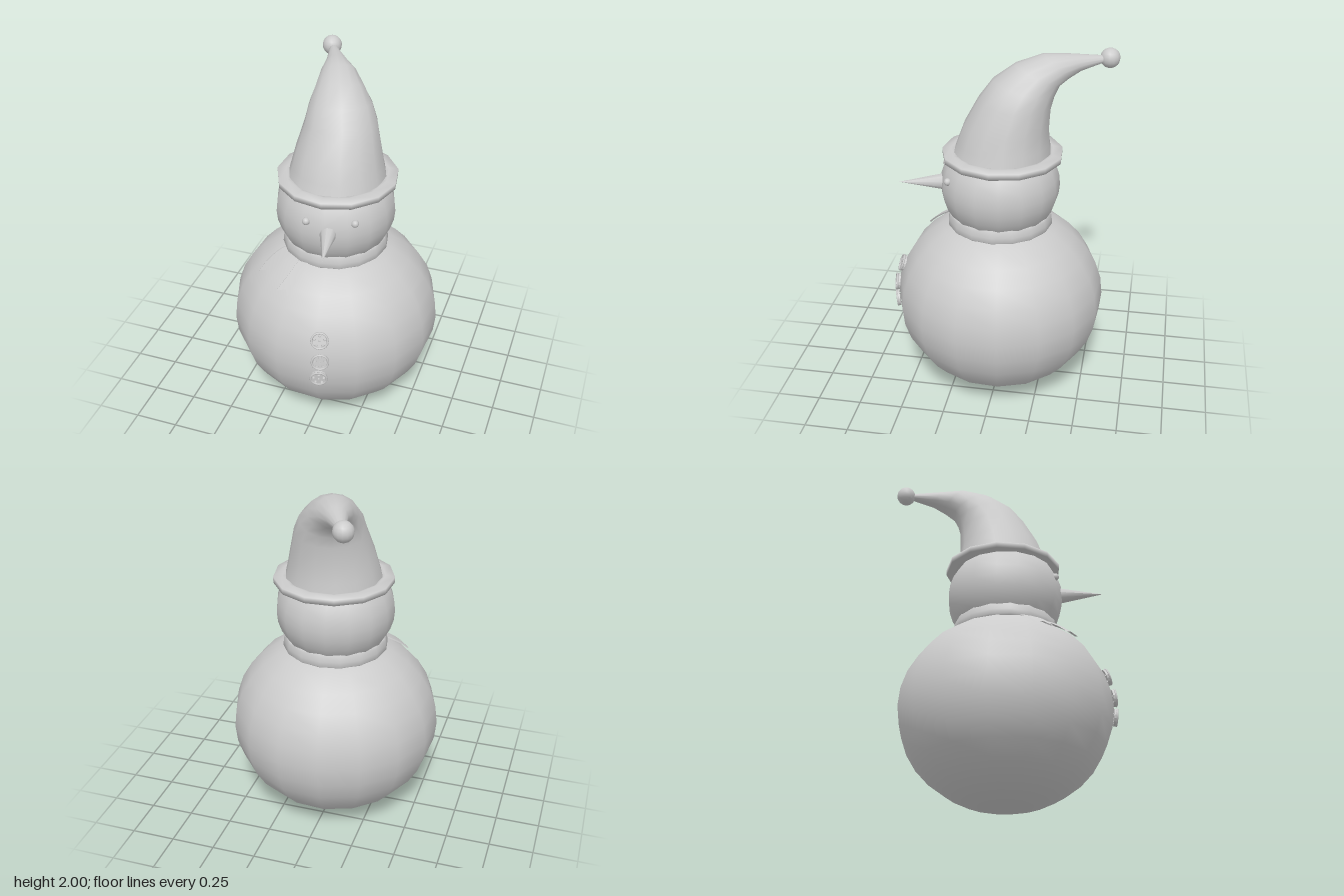
import * as THREE from 'three';

const mat = new THREE.MeshStandardMaterial({ color: 0xcccccc, side: THREE.DoubleSide });
const BODY = { y: 0.55, r: 0.6, ry: 0.545 };

function add(parent, name, geometry, x = 0, y = 0, z = 0) {
  const mesh = new THREE.Mesh(geometry, mat);
  mesh.name = name;
  mesh.position.set(x, y, z);
  parent.add(mesh);
  return mesh;
}

const lathe = (pts, sides) =>
  new THREE.LatheGeometry(pts.map(p => new THREE.Vector2(...p)), sides);

// Depth of the front body surface at (x, y)
function bodyZ(x, y) {
  const k = 1 - ((y - BODY.y) / BODY.ry) ** 2;
  return Math.sqrt(Math.max(0.004, BODY.r ** 2 * k - x * x));
}

// Bent cone through tilted rings: [x, y, z, radius, tilt in degrees]
function hatGeometry(sides = 14) {
  const rings = [
    [0.005, 1.45, -0.012, 0.275, 0], [0.005, 1.52, -0.02, 0.257, 0],
    [0.005, 1.61, -0.035, 0.236, 2], [0.003, 1.745, -0.078, 0.2, 6],
    [-0.015, 1.83, -0.125, 0.173, 14], [-0.045, 1.895, -0.195, 0.133, 27],
    [-0.085, 1.934, -0.29, 0.096, 44], [-0.128, 1.945, -0.385, 0.057, 56],
    [-0.2, 1.95, -0.54, 0.018, 80],
  ];
  const d = new THREE.Vector3(-0.34, 0, -0.94).normalize();
  const side = new THREE.Vector3(-d.z, 0, d.x);
  const pos = [], index = [];
  rings.forEach(([x, y, z, r, deg], j) => {
    const t = THREE.MathUtils.degToRad(deg);
    const up = d.clone().multiplyScalar(-Math.cos(t)).setY(Math.sin(t));
    for (let i = 0; i < sides; i++) {
      const a = (i / sides) * Math.PI * 2;
      const p = new THREE.Vector3(x, y, z)
        .addScaledVector(up, r * Math.cos(a)).addScaledVector(side, r * Math.sin(a));
      pos.push(p.x, p.y, p.z);
      if (j === 0) continue;
      const n = (i + 1) % sides, lo = (j - 1) * sides, hi = j * sides;
      index.push(lo + i, lo + n, hi + n, lo + i, hi + n, hi + i);
    }
  });
  const g = new THREE.BufferGeometry();
  g.setAttribute('position', new THREE.Float32BufferAttribute(pos, 3));
  g.setIndex(index);
  g.computeVertexNormals();
  return g;
}

// Notched ribbon laid along a curve over the body
function ribbonGeometry(start, bend, end, width) {
  const curve = new THREE.QuadraticBezierCurve(
    new THREE.Vector2(...start), new THREE.Vector2(...bend), new THREE.Vector2(...end));
  const g = new THREE.BoxGeometry(1, 1, 1, 2, 8, 1);
  const p = g.attributes.position;
  for (let i = 0; i < p.count; i++) {
    const u = p.getX(i), v = 0.5 - p.getY(i), w = p.getZ(i);
    const notch = v > 0.99 ? 0.16 * (1 - Math.abs(2 * u)) : 0;
    const c = curve.getPoint(v - notch);
    const x = c.x + u * width * (0.8 + 0.3 * v);
    p.setXYZ(i, x, c.y, bodyZ(x, c.y) + 0.012 + w * 0.014);
  }
  g.computeVertexNormals();
  return g;
}

// Disc with a centre hole and a ring of five holes
function buttonGeometry() {
  const circle = (shape, x, y, r) => shape.absarc(x, y, r, 0, Math.PI * 2, false);
  const disc = circle(new THREE.Shape(), 0, 0, 0.048);
  disc.holes.push(circle(new THREE.Path(), 0, 0, 0.006));
  for (let i = 0; i < 5; i++) {
    const a = (i / 5) * Math.PI * 2 + 0.3;
    disc.holes.push(circle(new THREE.Path(), 0.03 * Math.cos(a), 0.03 * Math.sin(a), 0.009));
  }
  return new THREE.ExtrudeGeometry(disc, { depth: 0.016, bevelEnabled: false, curveSegments: 8 });
}

export function createModel() {
  const model = new THREE.Group();
  model.name = 'snowman';

  // Snowballs
  const body = add(model, 'body', new THREE.SphereGeometry(1, 16, 16), 0, BODY.y, 0);
  body.scale.set(BODY.r, BODY.ry, BODY.r);
  body.rotation.y = 0.133;
  const head = add(model, 'head', new THREE.SphereGeometry(1, 16, 16), 0, 1.26, 0);
  head.scale.set(0.335, 0.31, 0.335);
  head.rotation.y = 0.133;

  // Scarf band and its two tails
  add(model, 'scarfBand', lathe([[0.24, 1.02], [0.285, 1.018], [0.299, 1.032], [0.296, 1.06],
    [0.292, 1.09], [0.282, 1.102], [0.24, 1.1]], 16));
  const tails = [
    [[-0.165, 1.05], [-0.27, 1.02], [-0.33, 0.912], 0.06],
    [[-0.085, 1.05], [-0.12, 0.99], [-0.165, 0.91], 0.068],
  ];
  tails.forEach(t => add(model, 'scarfTail', ribbonGeometry(...t)));

  // Face
  for (const [x, z] of [[-0.06, 0.318], [0.195, 0.258]])
    add(model, 'eye', new THREE.SphereGeometry(0.021, 10, 8), x, 1.335, z);
  const from = new THREE.Vector3(0.055, 1.275, 0.28), to = new THREE.Vector3(0.115, 1.275, 0.555);
  const axis = to.clone().sub(from);
  const nose = add(model, 'nose', new THREE.ConeGeometry(0.052, axis.length(), 9),
    ...from.clone().add(to).multiplyScalar(0.5));
  nose.quaternion.setFromUnitVectors(new THREE.Vector3(0, 1, 0), axis.normalize());

  // Hat with brim and pompom
  add(model, 'hat', hatGeometry());
  const brim = add(model, 'hatBrim', lathe([[0.24, 1.43], [0.335, 1.43], [0.336, 1.464],
    [0.285, 1.472], [0.24, 1.462], [0.24, 1.43]], 13), 0.005, 0, -0.014);
  brim.rotation.y = 0.06;
  add(model, 'hatPompom', new THREE.SphereGeometry(0.055, 14, 10), -0.215, 1.95, -0.565);

  // Buttons facing out along the body surface
  const disc = buttonGeometry(), rim = new THREE.TorusGeometry(0.045, 0.006, 6, 20);
  for (const [x, y] of [[0.095, 0.74], [0.107, 0.62], [0.1, 0.505]]) {
    const z = bodyZ(x, y);
    const button = new THREE.Group();
    button.name = 'button';
    button.position.set(x, y, z - 0.002);
    button.lookAt(x + x * 1.8, y + (y - BODY.y) * 1.2, z + z);
    add(button, 'buttonDisc', disc);
    add(button, 'buttonRim', rim, 0, 0, 0.016);
    model.add(button);
  }
  return model;
}
